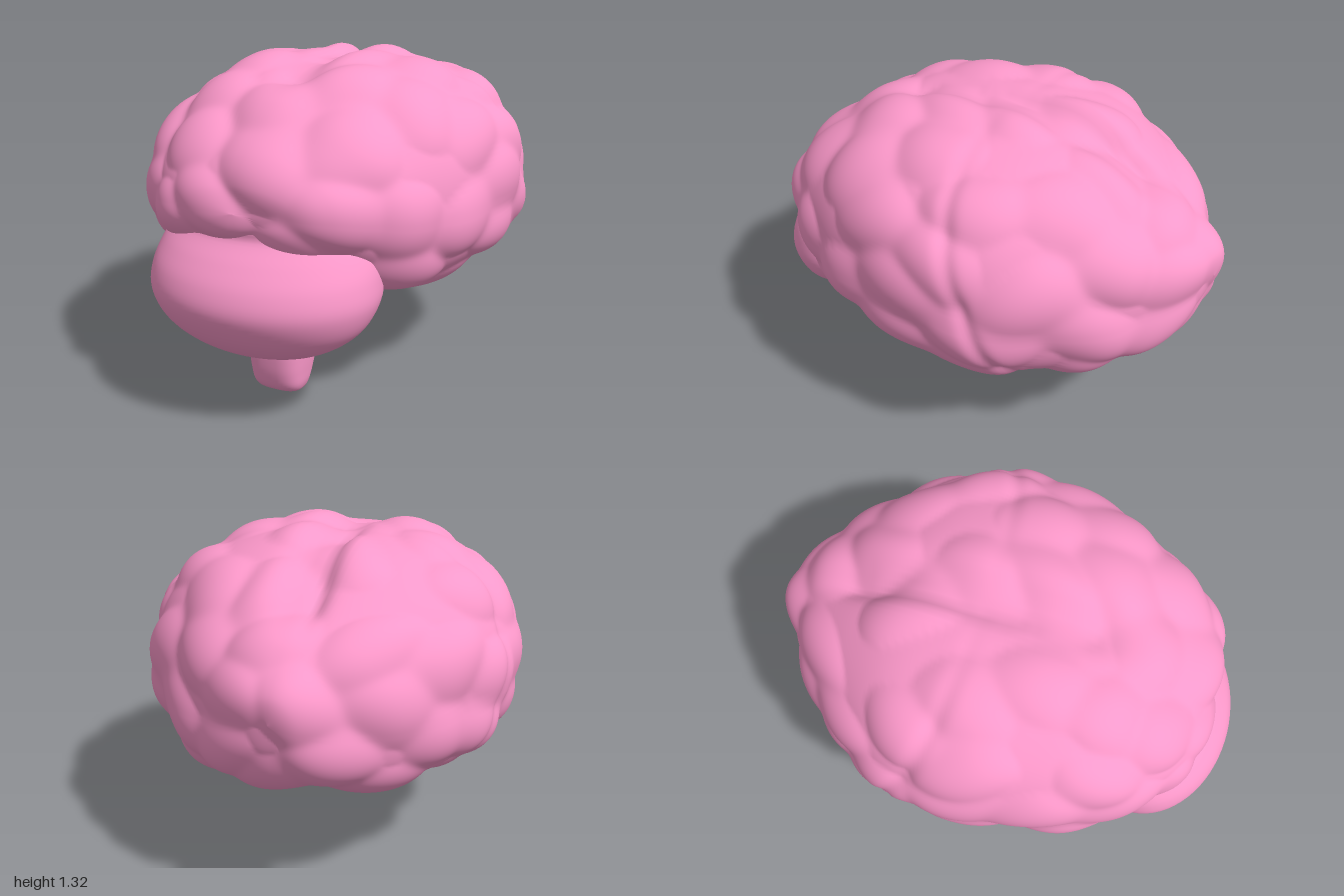
import * as THREE from 'three';

// Closed skin over rings point(t, angle); the first and last ring are single points.
function loft(point, rings, sides) {
  const pos = [], index = [];
  const id = (i, j) => i === 0 ? 0 : i === rings ? 1 + (rings - 1) * sides : 1 + (i - 1) * sides + (j % sides);
  for (let i = 0; i <= rings; i++) {
    const count = i === 0 || i === rings ? 1 : sides;
    for (let j = 0; j < count; j++) pos.push(...point(i / rings, j / sides * Math.PI * 2));
  }
  for (let i = 0; i < rings; i++) for (let j = 0; j < sides; j++) {
    const a = id(i, j), b = id(i, j + 1), c = id(i + 1, j), d = id(i + 1, j + 1);
    if (i > 0) index.push(a, c, b);
    if (i < rings - 1) index.push(b, c, d);
  }
  const g = new THREE.BufferGeometry();
  g.setAttribute('position', new THREE.Float32BufferAttribute(pos, 3));
  g.setIndex(index);
  g.computeVertexNormals();
  return g;
}

// Smooth interpolation through table rows, evenly by row.
function rowSampler(rows) {
  const n = rows.length - 1;
  return t => {
    const f = Math.min(t * n, n - 1e-6), i = Math.floor(f), w = f - i;
    const row = k => rows[Math.max(0, Math.min(n, k))];
    return rows[0].map((_, c) => {
      const [p, q, r, s] = [row(i - 1)[c], row(i)[c], row(i + 1)[c], row(i + 2)[c]];
      return q + 0.5 * w * (r - p + w * (2 * p - 5 * q + 4 * r - s + w * (3 * (q - r) + s - p)));
    });
  };
}

// Rounded-off power of a sine or cosine, for squarish ovals
const bend = (v, e) => Math.sign(v) * Math.pow(Math.abs(v), e);

function seeded(seed) {
  return () => (seed = (seed * 16807) % 2147483647) / 2147483647;
}

// Displace a surface into soft swellings, one around each scattered seed point.
function addFolds(g, spacing, depth, extra) {
  const pos = g.attributes.position, nor = g.attributes.normal, rand = seeded(4711);
  const p = new THREE.Vector3(), n = new THREE.Vector3(), q = new THREE.Vector3(), seeds = [];
  const warp = v => q.set(
    v.x + 0.04 * Math.sin(9 * v.y + 5 * v.z),
    v.y * 1.1 + 0.04 * Math.sin(8 * v.z + 6 * v.x),
    v.z * 0.85 + 0.04 * Math.sin(10 * v.x + 4 * v.y));
  for (let k = 0; k < 3000; k++) {
    p.fromBufferAttribute(pos, Math.floor(rand() * pos.count));
    warp(p);
    if (seeds.every(s => s.distanceTo(q) > spacing)) seeds.push(q.clone());
  }
  for (let i = 0; i < pos.count; i++) {
    p.fromBufferAttribute(pos, i);
    n.fromBufferAttribute(nor, i);
    warp(p);
    // blended distance to the nearest seed
    let sum = 0;
    for (const s of seeds) sum += Math.exp(-45 * s.distanceTo(q));
    const far = Math.max(0, -Math.log(sum) / 45) / (spacing * 0.6);
    p.addScaledVector(n, 0.006 - depth * Math.min(1.4, far * far) - extra(p, n));
    pos.setXYZ(i, p.x, p.y, p.z);
  }
  g.computeVertexNormals();
}

// Cerebrum stations, front to back: z, half width, top, bottom
const cerebrumRows = rowSampler([
  [0.89, 0, 0.83, 0.83], [0.87, 0.23, 0.93, 0.75], [0.81, 0.37, 1.02, 0.67],
  [0.70, 0.49, 1.11, 0.56], [0.58, 0.585, 1.19, 0.47], [0.40, 0.68, 1.28, 0.39],
  [0.20, 0.735, 1.32, 0.365], [0.00, 0.765, 1.335, 0.36], [-0.20, 0.765, 1.33, 0.355],
  [-0.40, 0.715, 1.29, 0.36], [-0.60, 0.585, 1.20, 0.395], [-0.78, 0.41, 1.09, 0.46],
  [-0.90, 0.24, 1.00, 0.55], [-0.98, 0.10, 0.91, 0.68], [-1.00, 0, 0.81, 0.81],
]);

function cerebrumPoint(t, a) {
  const [z, w, top, bottom] = cerebrumRows(t);
  const mid = bottom + (top - bottom) * 0.44;
  const s = Math.sin(a), e = 2 / (s > 0 ? 2.3 : 2.8);
  return [w * bend(Math.cos(a), e), mid + (s > 0 ? top - mid : mid - bottom) * bend(s, e), z];
}

// Valley and groove between the hemispheres, and a slanting furrow on each side
function grooves(p, n) {
  const { smoothstep } = THREE.MathUtils;
  const along = smoothstep(p.z, -0.85, -0.6) * (1 - smoothstep(p.z, 0.3, 0.6));
  const narrow = 0.03 * Math.exp(-(((p.x + 0.07) / 0.035) ** 2)) * (1 - smoothstep(p.z, -0.1, 0.1));
  const broad = 0.055 * Math.exp(-((p.x / 0.09) ** 2));
  const off = p.z + 0.15 + (1.2 - p.y) * 0.42;
  return (narrow + broad) * along * Math.max(0, n.y)
    + 0.014 * Math.exp(-((off / 0.035) ** 2)) * Math.min(1, Math.abs(n.x) * 1.5);
}

// Cerebellum stations, top to bottom: y, z centre, half width, half depth
const cerebellumRows = rowSampler([
  [0.80, 0.56, 0, 0], [0.785, 0.56, 0.33, 0.26], [0.72, 0.575, 0.41, 0.275], [0.65, 0.61, 0.445, 0.31],
  [0.57, 0.64, 0.465, 0.34], [0.48, 0.66, 0.465, 0.34], [0.38, 0.68, 0.415, 0.275],
  [0.30, 0.69, 0.31, 0.19], [0.25, 0.68, 0.18, 0.11], [0.23, 0.67, 0, 0],
]);

// Brain stem stations, top to bottom: y, z centre, half width, half depth
const stemRows = rowSampler([
  [0.42, 0.60, 0, 0], [0.37, 0.60, 0.19, 0.14], [0.29, 0.59, 0.135, 0.075], [0.235, 0.535, 0.125, 0.115],
  [0.17, 0.525, 0.122, 0.123], [0.10, 0.53, 0.115, 0.11], [0.04, 0.535, 0.105, 0.085],
  [0.008, 0.525, 0.08, 0.055], [0, 0.525, 0, 0],
]);

// Surface through upright stations; a lower power makes the plan squarer
const upright = (rows, power) => (t, a) => {
  const [y, z, w, d] = rows(t);
  return [w * bend(Math.cos(a), power), Math.max(0, y), z - d * bend(Math.sin(a), power)];
};

export function createModel() {
  const group = new THREE.Group();
  const add = (name, geometry) => {
    const mesh = new THREE.Mesh(geometry, new THREE.MeshStandardMaterial({ color: 0xfd99cb }));
    mesh.name = name;
    group.add(mesh);
  };

  const cerebrum = loft(cerebrumPoint, 180, 200);
  addFolds(cerebrum, 0.25, 0.026, grooves);
  add('cerebrum', cerebrum);
  add('cerebellum', loft(upright(cerebellumRows, 1), 54, 72));
  add('brainStem', loft(upright(stemRows, 0.7), 40, 40));
  return group;
}
